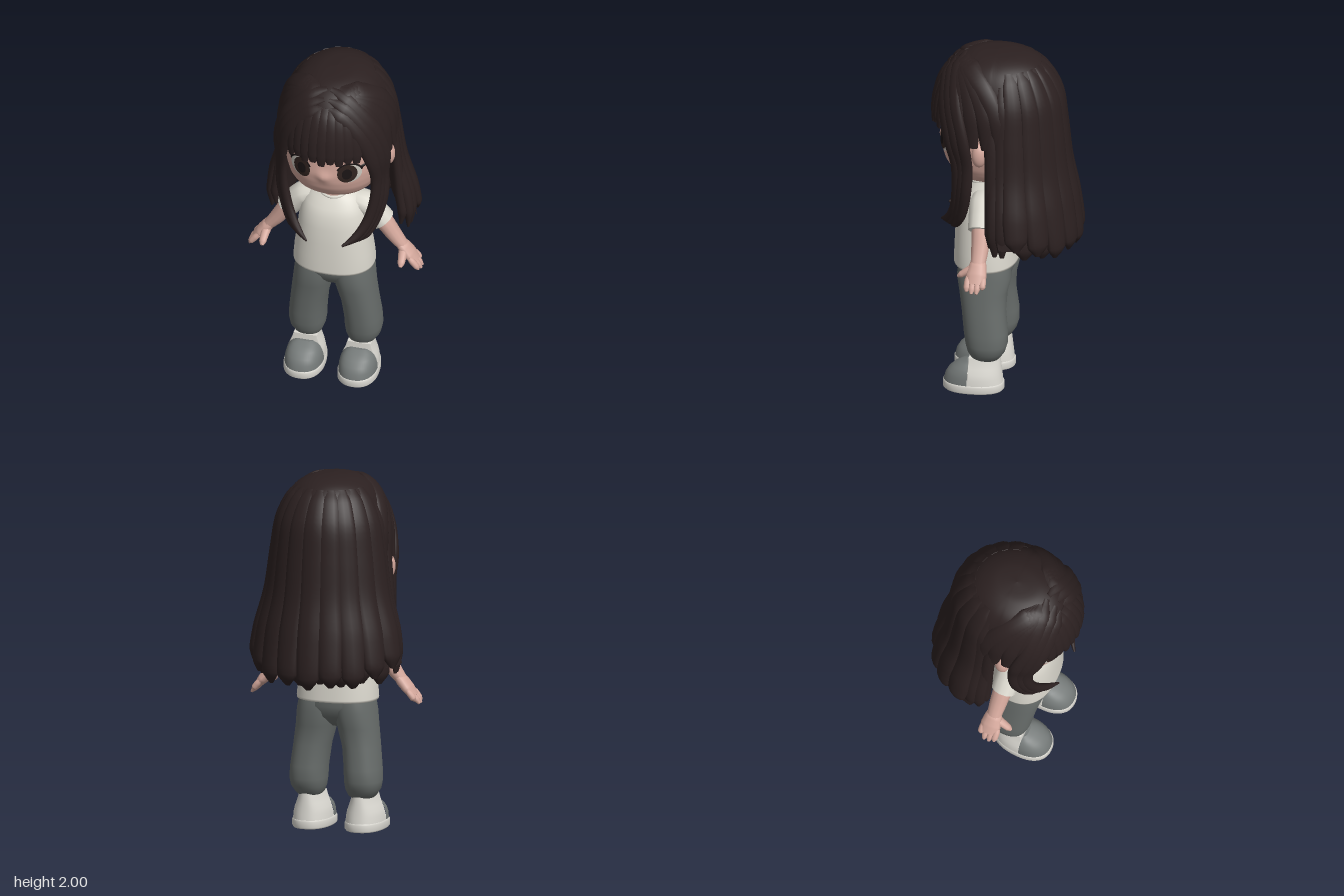
import * as THREE from 'three';

const V = (x, y, z) => new THREE.Vector3(x, y, z);
const mat = (name, color, side = THREE.FrontSide) => {
  const m = new THREE.MeshStandardMaterial({ color, side });
  m.name = name;
  return m;
};

// Linear look-up in a table sorted by its first column
function lookup(table, y) {
  if (y <= table[0][0]) return table[0];
  for (let i = 1; i < table.length; i++) {
    const a = table[i - 1], b = table[i];
    if (y <= b[0]) return a.map((v, k) => v + (b[k] - v) * (y - a[0]) / (b[0] - a[0]));
  }
  return table[table.length - 1];
}

// Skin over closed rows of points, optionally with end caps or only some columns
function skin(rows, caps = true, keep = () => true) {
  const M = rows[0].length, pos = [], idx = [];
  rows.forEach(r => r.forEach(p => pos.push(p.x, p.y, p.z)));
  for (let i = 0; i < rows.length - 1; i++) for (let j = 0; j < M; j++) {
    if (!keep(j)) continue;
    const k = (j + 1) % M, a = i * M + j, b = i * M + k;
    idx.push(a, b, a + M, b, b + M, a + M);
  }
  if (caps) [rows[0], rows[rows.length - 1]].forEach((r, end) => {
    const c = r.reduce((s, p) => s.add(p), V(0, 0, 0)).divideScalar(M), n = pos.length / 3;
    [c, ...r].forEach(p => pos.push(p.x, p.y, p.z));
    for (let j = 0; j < M; j++) {
      const p = n + 1 + j, q = n + 1 + (j + 1) % M;
      if (keep(j)) idx.push(n, end ? p : q, end ? q : p);
    }
  });
  const g = new THREE.BufferGeometry();
  g.setAttribute('position', new THREE.Float32BufferAttribute(pos, 3));
  g.setIndex(idx);
  g.computeVertexNormals();
  return g;
}

// Stack of rounded rings: [y, centreX, halfWidth, zFront, zBack]
function loft(rings, { n = 2.3, M = 48, zc, keep, tilt = () => 0 } = {}) {
  const pw = v => Math.sign(v) * Math.abs(v) ** (2 / n);
  return skin(rings.map(([y, cx, w, zf, zb]) => {
    const c = zc ?? (zf + zb) / 2;
    return Array.from({ length: M }, (_, j) => {
      const a = j / M * Math.PI * 2, co = pw(Math.cos(a)), dz = co * (co > 0 ? zf - c : c - zb);
      return V(cx + w * pw(Math.sin(a)), y - tilt(y) * dz, c + dz);
    });
  }), true, keep);
}

// Tapered elliptical tube along a curve
function sweep(pts, ws, ts, outFn = () => V(0, 0, 1), N = 26, M = 12) {
  const curve = new THREE.CatmullRomCurve3(pts, false, 'centripetal');
  const at = (arr, t) => {
    const f = t * (arr.length - 1), i = Math.min(Math.floor(f), arr.length - 2);
    return arr[i] + (arr[i + 1] - arr[i]) * (f - i);
  };
  const rows = [];
  for (let i = 0; i <= N; i++) {
    const t = i / N, p = curve.getPoint(t), T = curve.getTangent(t);
    const side = T.clone().cross(outFn(p)).normalize(), up = side.clone().cross(T);
    rows.push(Array.from({ length: M }, (_, j) => {
      const a = -j / M * Math.PI * 2;
      return p.clone().addScaledVector(side, at(ws, t) * Math.cos(a)).addScaledVector(up, at(ts, t) * Math.sin(a));
    }));
  }
  return skin(rows);
}

// Hair envelope: half width and depth by height
const envelope = new THREE.CatmullRomCurve3([[.45, .86, .445], [.46, .95, .46], [.44, 1.1, .44], [.395, 1.25, .41],
  [.355, 1.4, .385], [.338, 1.5, .375], [.327, 1.65, .365], [.29, 1.8, .335], [.215, 1.93, .25], [.12, 1.985, .15], [0, 2, 0]]
  .map(p => V(...p))).getPoints(120).map(p => [p.y, p.x, p.z]);
function hairAt(deg, y, k = 0.96) {
  const [, w, d] = lookup(envelope, y), a = deg * Math.PI / 180;
  return V(w * k * Math.sin(a), y, 0.05 + d * k * Math.cos(a));
}
const hairOut = p => p.clone().sub(V(0, Math.min(p.y, 1.6), 0.05)).normalize();

// Head outline, and the depth of the face with its soft nose
const headRings = [[1.25, 0, .1, .18, .02], [1.26, 0, .165, .24, -.04], [1.28, 0, .205, .282, -.08], [1.31, 0, .232, .315, -.11],
  [1.36, 0, .256, .345, -.15], [1.41, 0, .268, .36, -.18], [1.46, 0, .276, .366, -.2], [1.55, 0, .28, .36, -.22],
  [1.64, 0, .275, .345, -.22], [1.74, 0, .25, .3, -.2], [1.83, 0, .2, .24, -.14], [1.9, 0, .1, .16, -.03]];
const nose = (x, y) => 0.018 * Math.exp(-((x / 0.035) ** 2) - ((y - 1.455) / 0.035) ** 2);
function faceZ(x, y) {
  const [, , w, zf] = lookup(headRings, y);
  return 0.08 + (zf - 0.08) * Math.max(0, 1 - Math.abs(x / w) ** 2.15) ** (1 / 2.15) + nose(x, y);
}
// Thin plate laid on the face
function facePlate(cx, cy, rx, ry, off, inner = 0.001, start = 0, len = Math.PI * 2) {
  const g = new THREE.RingGeometry(inner, 1, 36, 5, start, len), p = g.attributes.position;
  for (let i = 0; i < p.count; i++) {
    const x = cx + p.getX(i) * rx, y = cy + p.getY(i) * ry;
    p.setXYZ(i, x, y, faceZ(x, y) + off);
  }
  g.computeVertexNormals();
  return g;
}

export function createModel() {
  const root = new THREE.Group();
  const hair = mat('dark brown hair', 0x2b2020, THREE.DoubleSide), skinM = mat('skin', 0xd3a79b);
  const shirt = mat('off white cloth', 0xdad7cd), pants = mat('grey cloth', 0x686d6b);
  const shoe = mat('shoe white', 0xdcdad3), toe = mat('shoe grey', 0x747978);
  const white = mat('eye white', 0xc9c5bc), iris = mat('iris brown', 0x30231f), lash = mat('lash black', 0x1a1414);
  const add = (name, geo, m) => {
    const mesh = new THREE.Mesh(geo, m);
    mesh.name = name;
    root.add(mesh);
    return mesh;
  };

  // Head and neck
  const fine = [...headRings.slice(0, 3), ...Array.from({ length: 46 }, (_, i) => lookup(headRings, 1.29 + i * 0.61 / 45))];
  const head = loft(fine, { n: 2.15, M: 96, zc: 0.08 }), hp = head.attributes.position;
  for (let i = 0; i < hp.count; i++) if (hp.getZ(i) > 0.2) hp.setZ(i, hp.getZ(i) + nose(hp.getX(i), hp.getY(i)));
  head.computeVertexNormals();
  add('head', head, skinM);
  add('neck', new THREE.CylinderGeometry(0.076, 0.08, 0.15, 32).translate(0, 1.22, 0.117), skinM);

  // Shirt with turned-in hem and a scooped collar
  add('shirtBody', loft([[.76, 0, .2, .265, -.03], [.732, 0, .215, .28, -.045], [.728, 0, .226, .293, -.058], [.74, 0, .227, .294, -.058],
    [.82, 0, .22, .291, -.05], [.92, 0, .206, .287, -.042], [1.02, 0, .195, .279, -.035], [1.1, 0, .182, .264, -.025],
    [1.16, 0, .16, .242, -.005], [1.2, 0, .125, .214, .022], [1.22, 0, .088, .196, .038]],
  { tilt: y => 0.3 * THREE.MathUtils.smoothstep(y, 1.05, 1.22) }), shirt);
  const collar = add('collar', new THREE.TorusGeometry(0.083, 0.009, 10, 40), shirt);
  collar.rotation.x = Math.PI / 2 + 0.3;
  collar.position.set(0, 1.218, 0.117);

  // Trousers
  add('hips', loft([[.575, 0, .03, .16, .07], [.6, 0, .09, .195, .03], [.64, 0, .16, .23, -.015], [.7, 0, .204, .262, -.043],
    [.77, 0, .2, .258, -.035]]), pants);

  for (const s of [1, -1]) {
    const P = pts => pts.map(([x, y, z]) => V(x * s, y, z));
    const ring = rs => rs.map(([y, cx, ...r]) => [y, cx * s, ...r]);

    add('trouserLeg', loft(ring([[.188, .152, .066, .165, .02], [.2, .152, .078, .175, .008], [.235, .157, .096, .192, -.015],
      [.28, .158, .103, .203, -.028], [.35, .155, .102, .213, -.028], [.47, .141, .102, .227, -.015], [.58, .12, .11, .245, -.02],
      [.67, .108, .112, .261, -.042], [.75, .1, .105, .25, -.03]])), pants);

    // Shoes: sole, heel with ankle, toe half
    add('sole', loft(ring([[0, .152, .106, .322, -.004], [.008, .152, .112, .33, -.01], [.04, .152, .112, .33, -.01],
      [.048, .152, .107, .325, -.006]]), { zc: 0.18 }), shoe);
    add('shoeToe', loft(ring([[.045, .152, .107, .325, 0], [.08, .152, .105, .317, 0], [.11, .152, .098, .299, 0],
      [.135, .152, .086, .27, 0], [.155, .152, .068, .234, 0], [.167, .152, .045, .197, 0]]),
    { zc: 0.178, keep: j => j < 12 || j >= 36 }), toe);
    add('shoeHeel', loft(ring([[.045, .152, .107, .183, -.004], [.08, .152, .104, .183, 0], [.11, .152, .097, .183, .003],
      [.14, .152, .085, .183, .006], [.17, .152, .074, .181, .009], [.2, .152, .066, .179, .012]]), { zc: 0.175 }), shoe);

    // Sleeve, arm and hand
    add('sleeve', sweep(P([[.1, 1.15, .105], [.17, 1.125, .103], [.225, 1.07, .1], [.272, 1.015, .098]]),
      [.05, .066, .068, .068], [.07, .078, .074, .07]), shirt);
    add('arm', sweep(P([[.2, 1.09, .095], [.27, 1.01, .093], [.33, .92, .09], [.385, .85, .09]]),
      [.052, .05, .042, .03], [.055, .054, .048, .04]), skinM);
    add('palm', sweep(P([[.345, .895, .09], [.385, .85, .09], [.42, .81, .09], [.455, .77, .09]]),
      [.02, .034, .03, .019], [.035, .05, .058, .05]), skinM);
    for (let i = 0; i < 4; i++) {
      const z = 0.05 + i * 0.028, e = i === 0 ? 0.02 : i === 3 ? 0.008 : 0;
      add('finger', sweep(P([[.425, .805, z], [.455, .77, z], [.487 - e, .731 + e, z]]),
        [.014, .018, .018, .016, .007], [.014, .019, .019, .018, .008], undefined, 12), skinM);
    }
    add('thumb', sweep(P([[.385, .845, .1], [.39, .815, .155], [.392, .785, .2]]),
      [.024, .025, .023, .02, .018, .008], [.024, .026, .024, .022, .02, .009], () => V(1, 0, 0), 15), skinM);

    // Ear and eye
    add('ear', new THREE.SphereGeometry(1, 20, 16).scale(0.036, 0.068, 0.042).rotateY(s * 0.3).translate(s * 0.3, 1.485, 0.1), skinM);
    add('eyeWhite', facePlate(s * 0.138, 1.486, 0.062, 0.063, 0.003), white);
    add('iris', facePlate(s * 0.128, 1.487, 0.051, 0.06, 0.006), iris);
    add('pupil', facePlate(s * 0.128, 1.485, 0.026, 0.034, 0.008), lash);
    const a0 = 0.25, len = 2.5;
    add('upperLash', facePlate(s * 0.138, 1.486, 0.07, 0.071, 0.008, 0.87, s > 0 ? a0 : Math.PI - a0 - len, len), lash);
    add('lashTip', sweep(P([[.195, 1.515, faceZ(.195, 1.515)], [.212, 1.522, faceZ(.212, 1.522) + .003], [.228, 1.538, faceZ(.228, 1.538) + .006]]),
      [.01, .007, .002], [.004, .004, .002], undefined, 8), lash);

    // Face-framing locks swept from the parting down to the chest
    for (let i = 0; i < 3; i++) {
      const top = [[4, 1.9 + i * .035], [22 + i * 6, 1.865 + i * .03], [41 + i * 7, 1.72 + i * .02], [51 + i * 8, 1.55]]
        .map(([d, y]) => hairAt(d * s, y, 0.98));
      const low = P([[.266 + i * .014, 1.4, .236 - i * .032], [.256 + i * .018, 1.25, .234 - i * .028],
        [.215 + i * .02, 1.1, .26 - i * .026], [.16 + i * .028, 1.02, .305 - i * .03], [.1 + i * .038, .985, .35 - i * .036]]);
      add('frontLock', sweep([...top, ...low], [.015, .045, .05, .045, .038, .036, .033, .03, .023, .006],
        [.006, .02, .026, .025, .024, .024, .025, .024, .018, .005], hairOut, 44), hair);
    }
    // Side bands above the ear
    for (const e of [62, 76, 90, 102]) add('sideBand', sweep([[.3, 1.965], [.55, 1.94], [.82, 1.86], [.95, 1.73], [1, 1.535]]
      .map(([f, y]) => hairAt(e * f * s, y, .95)), [.03, .06, .06, .056, .052, .035], [.006, .02, .026, .026, .026, .016], hairOut), hair);
    // Locks tucked behind the ear
    add('earLock', sweep(P([[.28, 1.78, .05], [.312, 1.55, .03], [.328, 1.35, .02], [.345, 1.15, .018], [.358, 1.04, .02], [.35, .955, .03]]),
      [.03, .04, .042, .042, .038, .01], [.02, .026, .03, .032, .03, .008], hairOut), hair);
    for (const [d, k] of [[104, .96], [98, .93]]) add('sideLock', sweep([1.88, 1.75, 1.55, 1.35, 1.15, 1.03, .92]
      .map((y, i) => hairAt(s * d, y, k - i * .014)), [.03, .05, .052, .05, .048, .044, .012], [.01, .026, .03, .032, .034, .03, .008], hairOut), hair);
  }

  // Hair cap, smooth at the crown, long behind and short over the face
  const rows = [];
  for (let i = 0; i <= 36; i++) rows.push(Array.from({ length: 96 }, (_, j) => {
    const d = j / 96 * 360, end = 1.63 - 0.66 * THREE.MathUtils.smoothstep(Math.min(d, 360 - d), 88, 102);
    const y = end + (2 - end) * (1 - (1 - i / 36) ** 2);
    return hairAt(d, y, 0.94 + 0.06 * THREE.MathUtils.smoothstep(y, 1.6, 1.92));
  }));
  add('hairCap', skin(rows, false), hair);

  // Long back locks, outer and inner layers
  for (const [count, k, inner] of [[4, .96, 0], [3.5, .88, 1]]) for (let i = -count; i <= count; i++) {
    const tip = 0.865 + (inner ? 0.015 : 0.1 * (Math.abs(i) / 4) ** 3) + (Math.round(i + 8) % 2) * 0.015;
    const ys = [1.94, 1.88, 1.76, 1.58, 1.35, 1.15, tip + .06, tip];
    add(inner ? 'innerBackLock' : 'backLock', sweep(ys.map(y => hairAt(180 + i * 16.5, y, k)),
      [.03, .05, .062, .068, .07, .074, .064, .015], [.008, .016, .024, .028, .032, .034, .03, .008], hairOut, 34), hair);
  }

  // Fringe
  for (let i = -4; i <= 4; i++) {
    const tip = 1.572 + (Math.abs(i) % 2) * 0.014 + Math.abs(i) * 0.002;
    add('fringeLock', sweep([1.9, 1.83, 1.74, 1.65, tip].map(y => hairAt(i * 8.6, y, 0.985)),
      [.03, .036, .038, .037, .034, .032, .018], [.006, .014, .016, .016, .016, .014, .007], hairOut, 24), hair);
  }
  return root;
}
